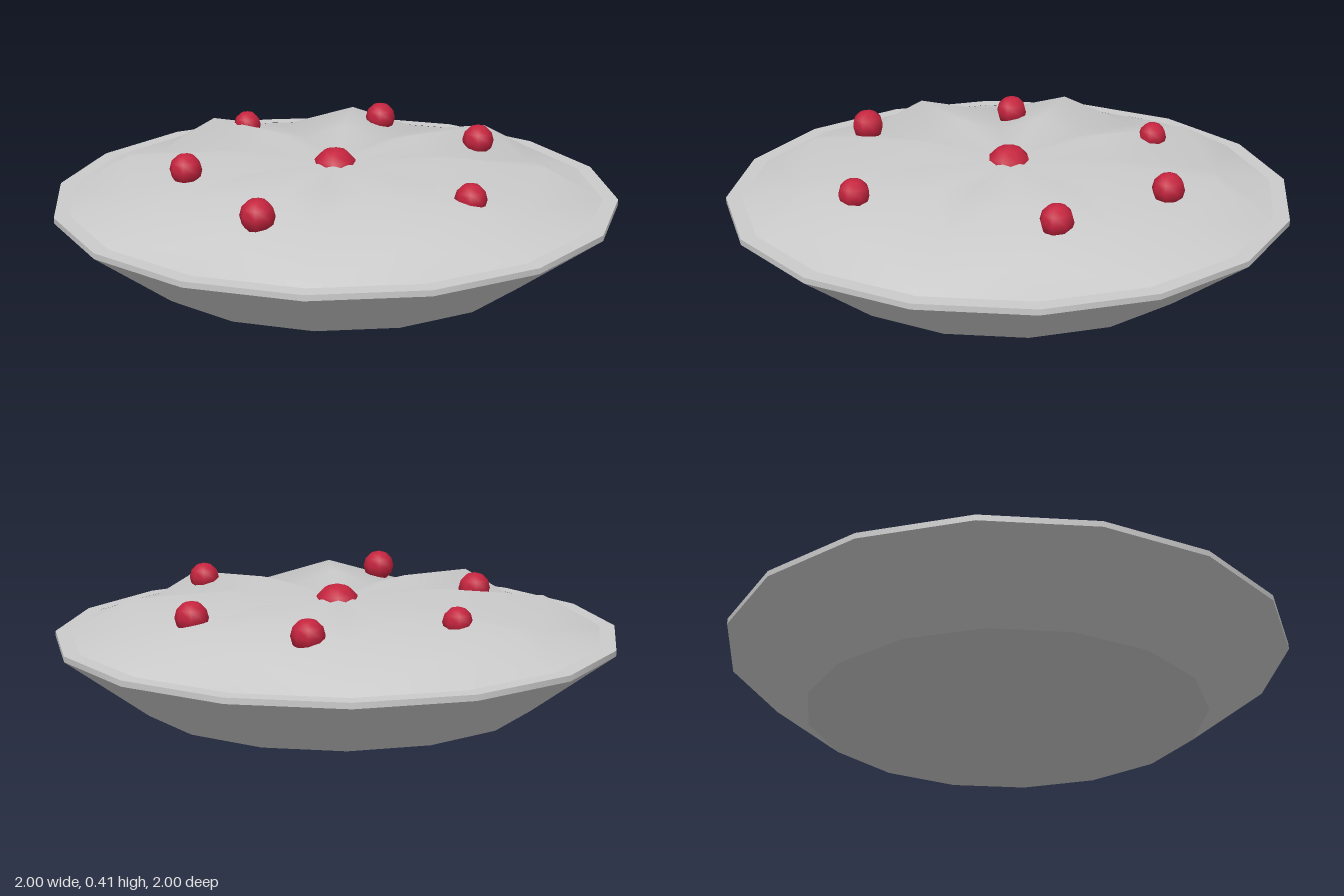
import * as THREE from 'three';

const SIDES = 16;
const grey = new THREE.MeshStandardMaterial({ color: 0xcccccc });
const red = new THREE.MeshStandardMaterial({ color: 0xc4243e });

function add(group, name, geometry, material, x = 0, y = 0, z = 0) {
  const mesh = new THREE.Mesh(geometry, material);
  mesh.name = name;
  mesh.position.set(x, y, z);
  group.add(mesh);
}

// Crust: rings of 16 points, alternating between ridge and valley heights
function crustGeometry() {
  const rings = [
    { r: 0.37, ridge: 0.38, valley: 0.335 },
    { r: 0.74, ridge: 0.353, valley: 0.285 },
    { r: 0.95, ridge: 0.238, valley: 0.238 },
  ];
  const positions = [0, 0.35, 0];
  const index = [];
  for (const { r, ridge, valley } of rings) {
    for (let i = 0; i < SIDES; i++) {
      const a = (i / SIDES) * Math.PI * 2;
      positions.push(r * Math.sin(a), i % 2 ? valley : ridge, r * Math.cos(a));
    }
  }
  const id = (ring, i) => 1 + ring * SIDES + (i % SIDES);
  for (let i = 0; i < SIDES; i++) {
    index.push(0, id(0, i), id(0, i + 1));
    for (let k = 0; k < rings.length - 1; k++) {
      const a = id(k, i), b = id(k, i + 1), c = id(k + 1, i), d = id(k + 1, i + 1);
      // diagonals run into the valleys so every lobe is symmetric
      if (i % 2) index.push(a, c, d, a, d, b);
      else index.push(a, c, b, b, c, d);
    }
  }
  const geometry = new THREE.BufferGeometry();
  geometry.setAttribute('position', new THREE.Float32BufferAttribute(positions, 3));
  geometry.setIndex(index);
  geometry.computeVertexNormals();
  return geometry;
}

export function createModel() {
  const model = new THREE.Group();
  model.name = 'pie';

  // Dish: sloping wall, flat base, thin lip
  const dish = new THREE.Group();
  dish.name = 'dish';
  add(dish, 'dishWall', new THREE.CylinderGeometry(1, 0.71, 0.22, SIDES, 1, true), grey, 0, 0.11, 0);
  const base = new THREE.CircleGeometry(0.71, SIDES).rotateX(Math.PI / 2);
  add(dish, 'dishBase', base, grey);
  add(dish, 'lipEdge', new THREE.CylinderGeometry(1, 1, 0.02, SIDES, 1, true), grey, 0, 0.23, 0);
  const lip = new THREE.RingGeometry(0.945, 1, SIDES).rotateX(-Math.PI / 2);
  add(dish, 'lipTop', lip, grey, 0, 0.24, 0);
  model.add(dish);

  add(model, 'crust', crustGeometry(), grey);

  // Berries: x, y, z, radius
  const berries = [
    [0, 0.32, 0, 0.083],
    [0.04, 0.357, -0.575, 0.051],
    [0.51, 0.353, -0.34, 0.057],
    [0.58, 0.353, 0.13, 0.058],
    [0.067, 0.355, 0.62, 0.055],
    [-0.57, 0.352, 0.3, 0.059],
    [-0.465, 0.353, -0.255, 0.058],
  ];
  for (const [x, y, z, r] of berries) {
    add(model, 'berry', new THREE.SphereGeometry(r, 8, 6), red, x, y, z);
  }
  return model;
}
